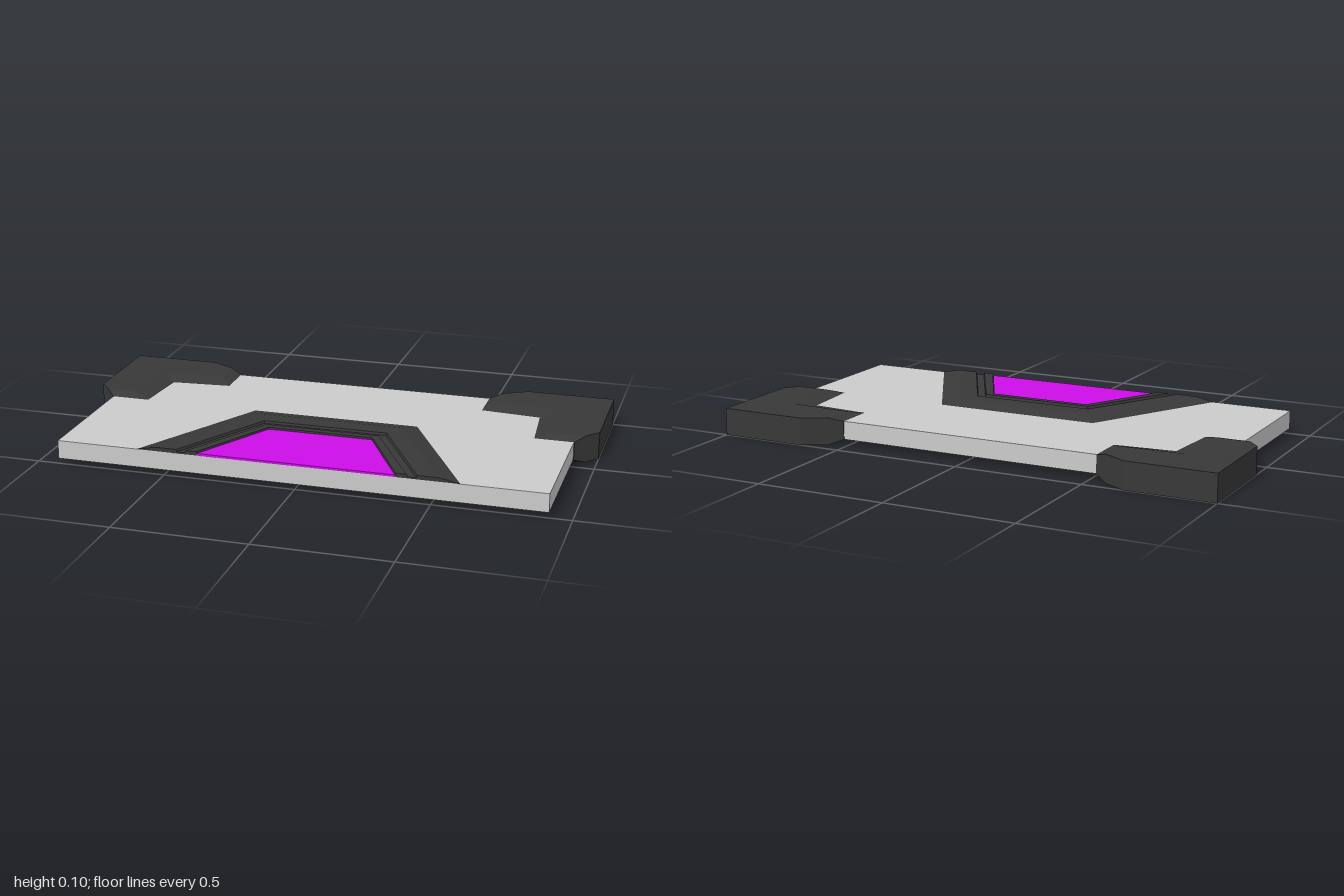
import * as THREE from 'three';

const plateMat = new THREE.MeshStandardMaterial({ color: 0xcccccc, flatShading: true });
const darkMat = new THREE.MeshStandardMaterial({ color: 0x383838, flatShading: true, side: THREE.DoubleSide });
const panelMat = new THREE.MeshStandardMaterial({ color: 0xcc0ee8, flatShading: true });

function meshFromTriangles(name, positions, material) {
  const geo = new THREE.BufferGeometry();
  geo.setAttribute('position', new THREE.Float32BufferAttribute(positions, 3));
  geo.computeVertexNormals();
  const mesh = new THREE.Mesh(geo, material);
  mesh.name = name;
  return mesh;
}

// Closed solid from stacked [x, z] outlines, bottom to top, with capped ends
function loft(name, rings, material) {
  const flat = (loop) => loop.map(([x, z]) => new THREE.Vector2(x, -z));
  if (THREE.ShapeUtils.isClockWise(flat(rings[0].loop))) {
    rings = rings.map(({ y, loop }) => ({ y, loop: [...loop].reverse() }));
  }
  const out = [];
  const put = (ring, i) => out.push(ring.loop[i][0], ring.y, ring.loop[i][1]);
  for (let r = 0; r < rings.length - 1; r++) {
    const lo = rings[r], hi = rings[r + 1], n = lo.loop.length;
    for (let i = 0; i < n; i++) {
      const j = (i + 1) % n;
      put(lo, i); put(lo, j); put(hi, j);
      put(lo, i); put(hi, j); put(hi, i);
    }
  }
  const top = rings[rings.length - 1], bottom = rings[0];
  for (const [a, b, c] of THREE.ShapeUtils.triangulateShape(flat(top.loop), [])) {
    put(top, a); put(top, b); put(top, c);
  }
  for (const [a, b, c] of THREE.ShapeUtils.triangulateShape(flat(bottom.loop), [])) {
    put(bottom, c); put(bottom, b); put(bottom, a);
  }
  return meshFromTriangles(name, out, material);
}

// L-shaped corner guard: full-height outside, bevelled on its inner and end edges
const guardOutline = [[1, -0.5], [0.66, -0.5], [0.52, -0.42], [0.52, -0.27],
  [0.75, -0.25], [0.77, -0.02], [0.92, -0.02], [1, -0.11]];
const guardInset = [[1, -0.5], [0.66, -0.5], [0.57, -0.449], [0.57, -0.33],
  [0.81, -0.32], [0.83, -0.06], [0.956, -0.06], [1, -0.11]];

function cornerGuard(name, side) {
  const mirror = (loop) => loop.map(([x, z]) => [x * side, z]);
  const outer = mirror(guardOutline), inset = mirror(guardInset);
  return loft(name, [
    { y: 0, loop: inset }, { y: 0.02, loop: outer },
    { y: 0.09, loop: outer }, { y: 0.105, loop: inset },
  ], darkMat);
}

// Three-sided trim swept through rows of [back half width, back z, front half width, y]
function trimFrame(name, rows, front, base) {
  const out = [];
  const quad = (a, b, c, d) => out.push(...a, ...c, ...b, ...a, ...d, ...c);
  const path = ([bw, bz, fw, y]) => [[-fw, y, front], [-bw, y, bz], [bw, y, bz], [fw, y, front]];
  for (let r = 0; r < rows.length - 1; r++) {
    const p = path(rows[r]), q = path(rows[r + 1]);
    for (let i = 0; i < 3; i++) quad(p[i], q[i], q[i + 1], p[i + 1]);
    // close the cut ends at the front edge
    for (const i of [0, 3]) {
      const a = p[i], b = q[i], a0 = [a[0], base, front], b0 = [b[0], base, front];
      if (i === 0) quad(a0, a, b, b0);
      else quad(b0, b, a, a0);
    }
  }
  return meshFromTriangles(name, out, darkMat);
}

export function createModel() {
  const model = new THREE.Group();
  model.name = 'platform';

  // Main slab
  const slab = new THREE.Mesh(new THREE.BoxGeometry(1.836, 0.07, 0.917), plateMat);
  slab.name = 'slab';
  slab.position.set(0, 0.055, 0.0415);
  model.add(slab);

  // Back corner guards
  model.add(cornerGuard('leftCornerGuard', 1), cornerGuard('rightCornerGuard', -1));

  // Raised trim: outer bevel, flat band, groove and inner lip
  model.add(trimFrame('panelTrim', [
    [0.325, -0.025, 0.61, 0.089],
    [0.28, 0.05, 0.53, 0.105],
    [0.24, 0.12, 0.45, 0.105],
    [0.238, 0.123, 0.447, 0.096],
    [0.222, 0.152, 0.415, 0.096],
    [0.22, 0.155, 0.412, 0.105],
    [0.202, 0.183, 0.372, 0.105],
    [0.2, 0.185, 0.37, 0.089],
  ], 0.5, 0.089));

  // Coloured inlay
  model.add(loft('inlayPanel', [0.089, 0.098].map((y) => ({
    y, loop: [[-0.37, 0.5], [0.37, 0.5], [0.2, 0.185], [-0.2, 0.185]],
  })), panelMat));

  return model;
}
